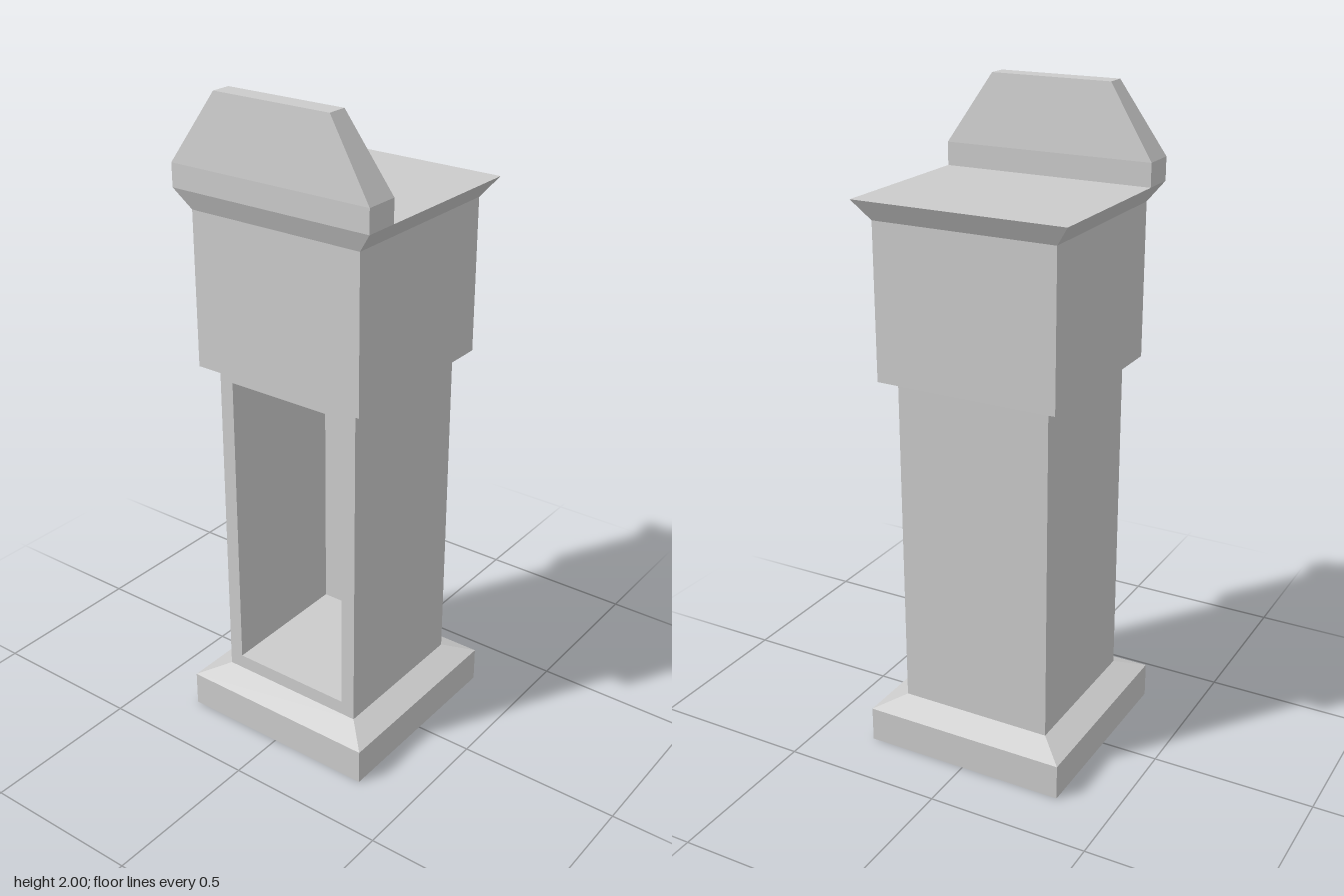
import * as THREE from 'three';

// Closed solid lofted through rectangular sections: [y, x0, x1, z half-width]
function loft(sections) {
  const rings = sections.map(([y, x0, x1, z]) =>
    [[x0, y, z], [x1, y, z], [x1, y, -z], [x0, y, -z]]);
  const pos = [];
  const quad = (a, b, c, d) => pos.push(...a, ...b, ...c, ...a, ...c, ...d);
  for (let k = 0; k < rings.length - 1; k++) {
    const lo = rings[k], hi = rings[k + 1];
    for (let i = 0; i < 4; i++) {
      const j = (i + 1) % 4;
      quad(lo[i], lo[j], hi[j], hi[i]);
    }
  }
  quad(...rings[0].slice().reverse());
  quad(...rings[rings.length - 1]);
  const g = new THREE.BufferGeometry();
  g.setAttribute('position', new THREE.Float32BufferAttribute(pos, 3));
  g.computeVertexNormals();
  return g;
}

function rectangle(path, w, y0, y1) {
  path.moveTo(-w, y0);
  path.lineTo(w, y0);
  path.lineTo(w, y1);
  path.lineTo(-w, y1);
  path.closePath();
  return path;
}

export function createModel() {
  const model = new THREE.Group();
  model.name = 'pillar';
  const material = new THREE.MeshStandardMaterial({ color: 0xcccccc, flatShading: true });
  const add = (name, geometry) => {
    const mesh = new THREE.Mesh(geometry, material);
    mesh.name = name;
    model.add(mesh);
    return mesh;
  };

  // Plinth with a sloped top edge
  add('base', loft([
    [0, -0.323, 0.323, 0.323],
    [0.11, -0.323, 0.323, 0.323],
    [0.145, -0.242, 0.242, 0.242],
  ]));

  // Hollow shaft, open on the -x side: a framed tube closed by a panel
  const half = 0.242, wall = 0.045, bottom = 0.145, top = 1.19;
  const frame = rectangle(new THREE.Shape(), half, bottom, top);
  frame.holes.push(rectangle(new THREE.Path(), half - wall, bottom + wall, top - wall));
  const tube = new THREE.ExtrudeGeometry(frame, { depth: 2 * half - wall, bevelEnabled: false });
  tube.rotateY(-Math.PI / 2).translate(half - wall, 0, 0);
  add('shaft', tube);
  const panel = new THREE.BoxGeometry(wall, top - bottom, 2 * half);
  panel.translate(half - wall / 2, (top + bottom) / 2, 0);
  add('shaftPanel', panel);

  // Wider upper block
  add('head', loft([
    [1.19, -0.284, 0.284, 0.284],
    [1.66, -0.284, 0.284, 0.284],
  ]));

  // Flared cap slab
  add('cap', loft([
    [1.66, -0.284, 0.284, 0.284],
    [1.72, -0.308, 0.318, 0.33],
  ]));

  // Tapered crest along the -x edge
  add('crest', loft([
    [1.72, -0.308, -0.202, 0.33],
    [1.79, -0.308, -0.202, 0.33],
    [2.0, -0.285, -0.224, 0.19],
  ]));

  return model;
}
